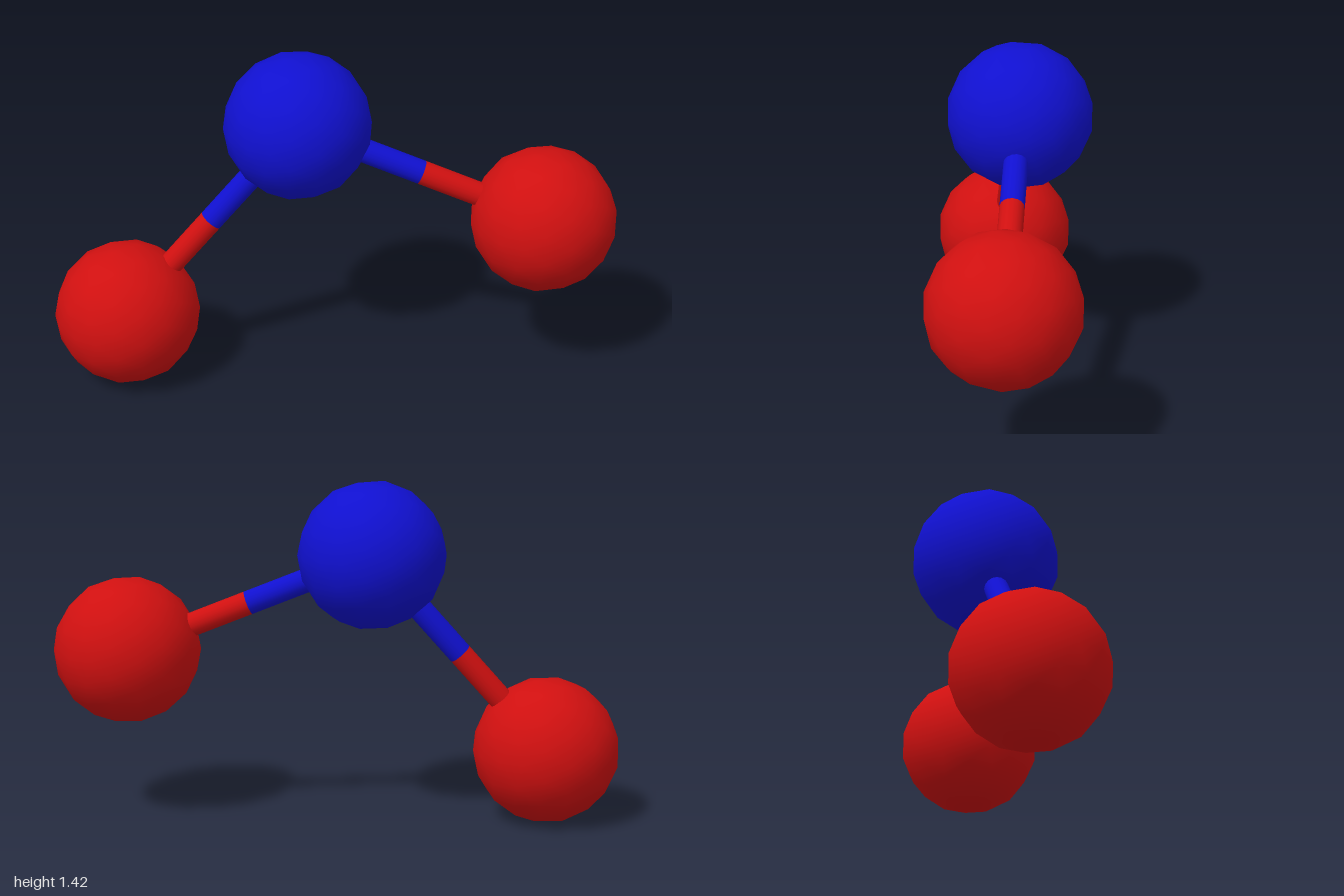
import * as THREE from 'three';
import { mergeVertices } from 'three/addons/utils/BufferGeometryUtils.js';

const BALL_RADIUS = 0.304;
const STICK_RADIUS = 0.05;

export function createModel() {
  const model = new THREE.Group();
  model.name = 'ballAndStickModel';

  const blue = new THREE.MeshStandardMaterial({ color: 0x1010d0 });
  const red = new THREE.MeshStandardMaterial({ color: 0xd01010 });

  // Coarse ball with smooth shading
  const ballGeometry = new THREE.IcosahedronGeometry(BALL_RADIUS, 2);
  ballGeometry.deleteAttribute('uv');
  const ball = mergeVertices(ballGeometry);
  ball.rotateZ(Math.PI / 2);

  function addBall(name, position, material) {
    const mesh = new THREE.Mesh(ball, material);
    mesh.name = name;
    mesh.position.copy(position);
    model.add(mesh);
  }

  // Open rod between two points; its ends are hidden or meet the next rod
  function addStick(name, from, to, material) {
    const dir = to.clone().sub(from);
    const geometry = new THREE.CylinderGeometry(STICK_RADIUS, STICK_RADIUS, dir.length(), 16, 1, true);
    const mesh = new THREE.Mesh(geometry, material);
    mesh.name = name;
    mesh.position.copy(from).add(to).multiplyScalar(0.5);
    mesh.quaternion.setFromUnitVectors(new THREE.Vector3(0, 1, 0), dir.normalize());
    model.add(mesh);
  }

  // Central ball
  const center = new THREE.Vector3(-0.14, 1.125, 0.077);
  addBall('centerBall', center, blue);

  // Outer balls, each joined by a stick that changes colour halfway
  const outer = [
    ['front', new THREE.Vector3(-0.518, 0.304, 0.698)],
    ['back', new THREE.Vector3(0.515, 0.718, -0.698)],
  ];
  for (const [side, position] of outer) {
    const middle = center.clone().lerp(position, 0.5);
    addBall(side + 'Ball', position, red);
    addStick(side + 'StickInner', center, middle, blue);
    addStick(side + 'StickOuter', middle, position, red);
  }

  return model;
}
